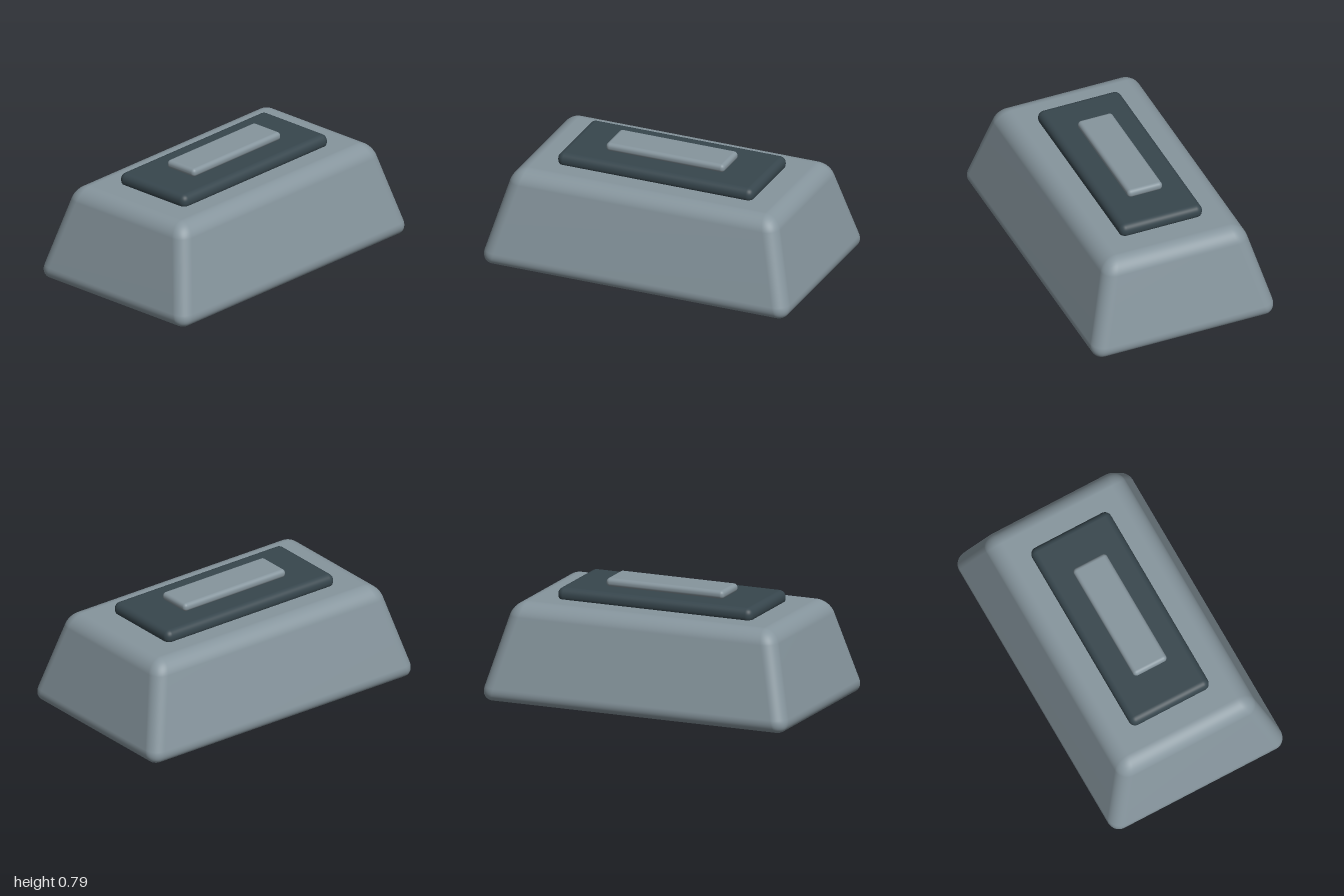
import * as THREE from 'three';
import { RoundedBoxGeometry } from 'three/addons/geometries/RoundedBoxGeometry.js';
import { mergeVertices } from 'three/addons/utils/BufferGeometryUtils.js';

const paint = (name, color) => {
  const m = new THREE.MeshStandardMaterial({ color });
  m.name = name;
  return m;
};

// Rounded box standing on y0, its walls leaning inwards by `inset` from bottom to top
function roundedBlock(width, depth, y0, y1, radius, inset = 0) {
  const h = y1 - y0;
  const rounded = new RoundedBoxGeometry(width, h, depth, 6, radius);
  const p = rounded.attributes.position;
  for (let i = 0; i < p.count; i++) {
    const x = p.getX(i), y = p.getY(i) + h / 2, z = p.getZ(i);
    const d = inset * y / h;
    p.setXYZ(i, x - Math.sign(x) * d, y + y0, z - Math.sign(z) * d);
  }
  rounded.deleteAttribute('normal');
  rounded.deleteAttribute('uv');
  const smooth = mergeVertices(rounded, 1e-5);
  smooth.computeVertexNormals();
  return smooth;
}

export function createModel() {
  const model = new THREE.Group();
  const grey = paint('blue grey', 0x86959d);
  const dark = paint('dark slate', 0x37464d);
  const pale = paint('pale grey', 0xcfcfcf);

  const add = (name, geometry, material) => {
    const mesh = new THREE.Mesh(geometry, material);
    mesh.name = name;
    model.add(mesh);
    return mesh;
  };

  // Tapered main body
  add('body', roundedBlock(2.04, 1.23, 0.07, 0.668, 0.085, 0.16), grey);
  // Dark pad with a raised bar on top
  add('topPad', roundedBlock(1.284, 0.542, 0.648, 0.738, 0.042), dark);
  add('topBar', roundedBlock(0.776, 0.228, 0.734, 0.787, 0.024), grey);
  // Small square peg underneath
  add('peg', new THREE.BoxGeometry(0.137, 0.137, 0.137), pale).position.y = 0.0685;

  return model;
}
